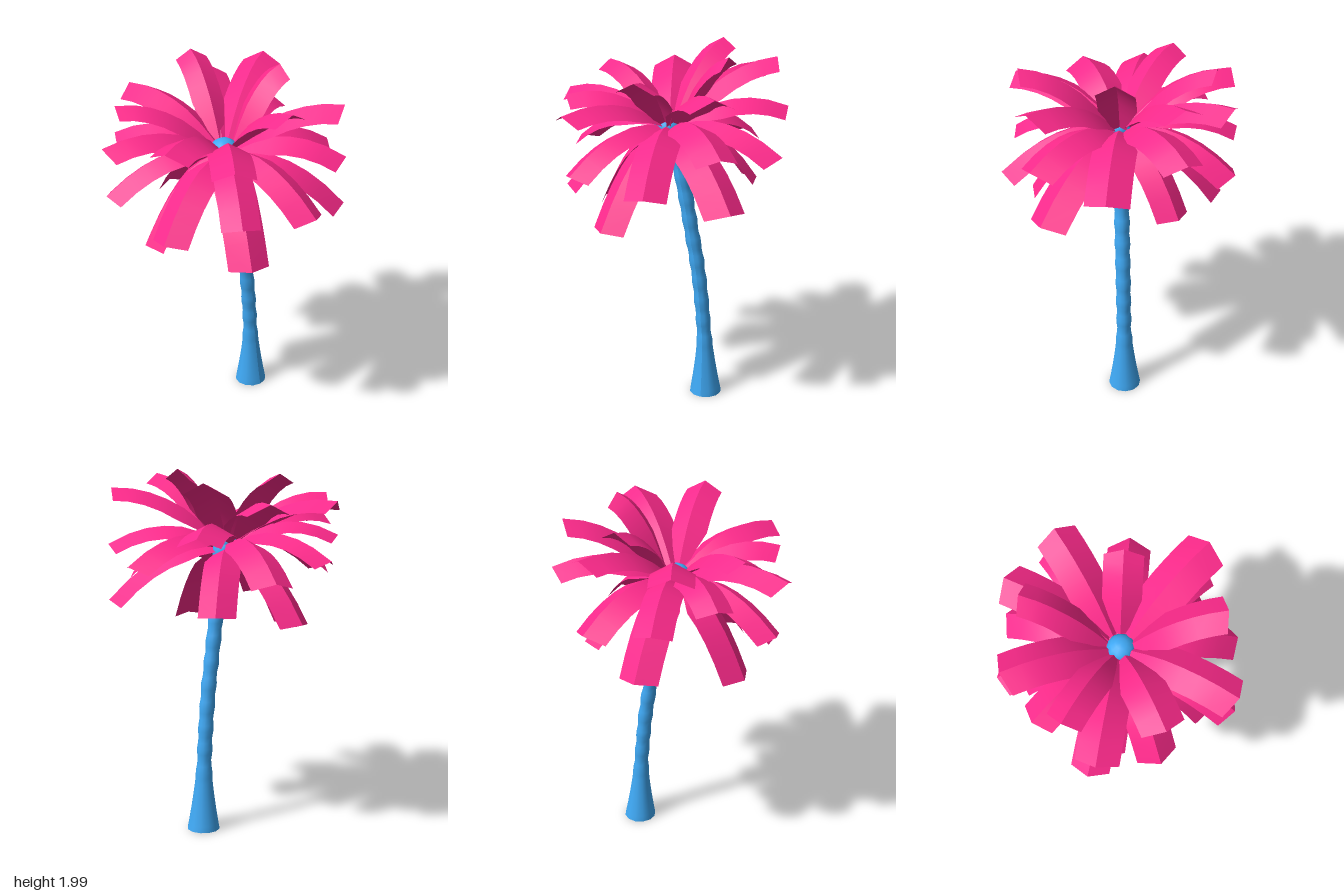
import * as THREE from 'three';

const leafMat = new THREE.MeshStandardMaterial({ color: 0xff2a8c, side: THREE.DoubleSide });
const trunkMat = new THREE.MeshStandardMaterial({ color: 0x3fa9f5, side: THREE.DoubleSide });

// Tip position of every frond: x, y, z, half width
const upperTips = [
  [0.33, 1.97, 0.05, 0.1], [0.5, 1.92, -0.27, 0.11], [0.15, 1.96, -0.46, 0.09],
  [0, 1.92, 0.51, 0.1], [-0.45, 1.83, -0.31, 0.095], [-0.17, 1.81, -0.58, 0.115],
  [-0.5, 1.74, 0.17, 0.115], [-0.37, 1.73, 0.53, 0.11], [0.31, 1.82, -0.53, 0.115],
  [0.39, 1.86, 0.47, 0.12],
];
const middleTips = [
  [-0.63, 1.69, -0.17, 0.11], [0.63, 1.5, 0.11, 0.115], [0.56, 1.66, -0.28, 0.115],
  [-0.36, 1.62, -0.45, 0.1], [-0.08, 1.52, -0.61, 0.1], [0.08, 1.38, 0.61, 0.11],
  [-0.59, 1.41, -0.21, 0.1], [-0.33, 1.43, 0.54, 0.1], [0.29, 1.44, -0.55, 0.115],
  [0.42, 1.57, 0.46, 0.115],
];
const lowerTips = [
  [0.46, 1.28, 0.42, 0.12], [-0.2, 1.12, 0.46, 0.11], [-0.41, 1.1, -0.13, 0.115],
  [-0.51, 1.25, 0.16, 0.11], [0.04, 1.2, -0.52, 0.11], [0.4, 1.26, -0.26, 0.1],
];

// Arched leaf blade folded along a raised midrib
function makeFrond([x, y, z, halfWidth], baseY, arch) {
  const reach = Math.hypot(x, z);
  const dir = new THREE.Vector3(x / reach, 0, z / reach);
  const side = new THREE.Vector3(-dir.z, 0, dir.x);
  const start = dir.clone().multiplyScalar(0.065).setY(baseY);
  const tip = new THREE.Vector3(x, y, z);
  const control = start.clone().lerp(tip, 0.5);
  control.y += arch;
  const spine = new THREE.QuadraticBezierCurve3(start, control, tip);

  const steps = 6, pos = [], index = [];
  for (const s of [-1, 1]) {
    const first = pos.length / 3;
    for (let i = 0; i <= steps; i++) {
      const t = i / steps;
      const tangent = spine.getTangent(t);
      const up = new THREE.Vector3().crossVectors(side, tangent);
      const w = halfWidth * (0.35 + 0.65 * Math.min(1, t / 0.33));
      const rib = spine.getPoint(t).addScaledVector(up, w * 0.17);
      const edge = rib.clone().addScaledVector(side, s * w).addScaledVector(up, -w * 0.52);
      if (i === steps) rib.addScaledVector(tangent, 0.02);
      pos.push(...rib.toArray(), ...edge.toArray());
      if (i < steps) {
        const a = first + i * 2;
        if (s > 0) index.push(a, a + 2, a + 1, a + 1, a + 2, a + 3);
        else index.push(a, a + 1, a + 2, a + 1, a + 3, a + 2);
      }
    }
  }
  const geo = new THREE.BufferGeometry();
  geo.setAttribute('position', new THREE.Float32BufferAttribute(pos, 3));
  geo.setIndex(index);
  geo.computeVertexNormals();
  return new THREE.Mesh(geo, leafMat);
}

function makeTier(name, tips, baseY, arch) {
  const tier = new THREE.Group();
  tier.name = `${name}s`;
  tips.forEach((tip, i) => {
    const frond = makeFrond(tip, baseY, arch);
    frond.name = `${name}${i + 1}`;
    tier.add(frond);
  });
  return tier;
}

// Leaning trunk with a flared foot and slightly swollen rings
function makeTrunk() {
  const height = 1.58;
  const geo = new THREE.CylinderGeometry(1, 1, height, 12, 48, true);
  geo.translate(0, height / 2, 0);
  const lean = new THREE.CatmullRomCurve3(
    [[0.22, 0], [0.21, 0.35], [0.19, 0.6], [0.165, 0.8], [0.13, 1], [0.095, 1.2], [0.055, 1.4], [0, 1.6]]
      .map(([x, y]) => new THREE.Vector3(x, y, 0)));
  const samples = lean.getPoints(200);
  const p = geo.attributes.position;
  for (let i = 0; i < p.count; i++) {
    const y = p.getY(i);
    const c = samples.find(s => s.y >= y - 1e-4);
    const flare = Math.max(0, 1 - y / 0.38);
    const rings = y > 0.3 ? 0.003 * Math.sin((y - 0.3) * 52) : 0;
    const r = 0.041 + 0.05 * Math.pow(flare, 1.4) + rings + 0.03 * THREE.MathUtils.smoothstep(y, 1.38, 1.58);
    p.setXYZ(i, c.x + p.getX(i) * r, y, p.getZ(i) * r - 0.01 + 0.015 * y / height);
  }
  geo.computeVertexNormals();
  const trunk = new THREE.Mesh(geo, trunkMat);
  trunk.name = 'trunk';
  return trunk;
}

export function createModel() {
  const model = new THREE.Group();
  model.name = 'palmTree';
  model.add(makeTrunk());

  // Rounded head the fronds grow from
  const head = new THREE.Mesh(new THREE.SphereGeometry(0.077, 12, 8), trunkMat);
  head.name = 'trunkHead';
  head.scale.y = 0.85;
  head.position.set(-0.003, 1.58, 0.007);
  model.add(head);

  model.add(makeTier('upperFrond', upperTips, 1.61, 0.13));
  model.add(makeTier('middleFrond', middleTips, 1.59, 0.15));
  model.add(makeTier('lowerFrond', lowerTips, 1.55, 0.17));
  return model;
}
